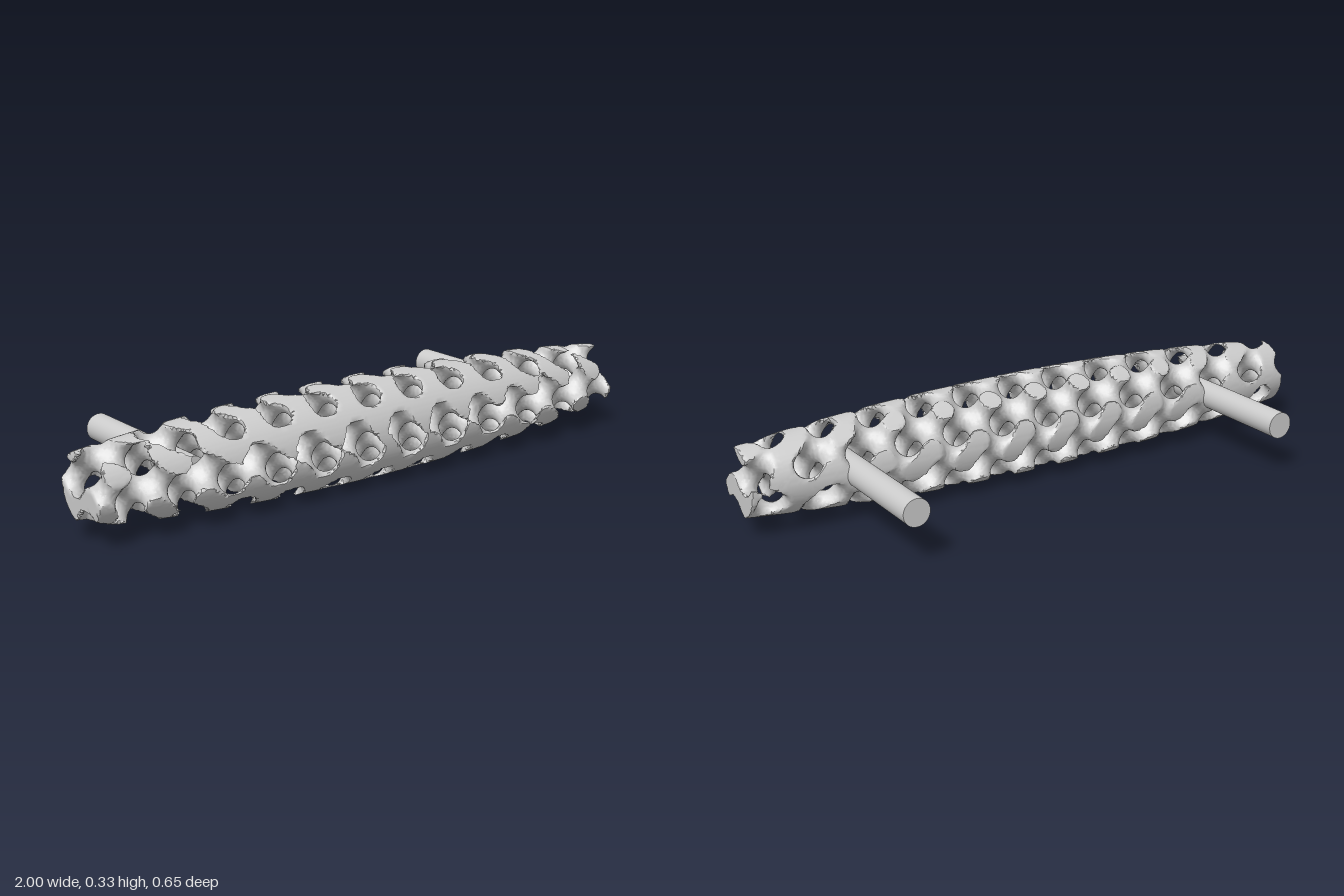
import * as THREE from 'three';
import { toCreasedNormals } from 'three/addons/utils/BufferGeometryUtils.js';

const CY = 0.162, CZ = 0.162;            // axis of the barrel
const KX = 2 * Math.PI / 0.1667, K = 2 * Math.PI / 0.17;
const LEVEL = 0.2;                       // how much of the gyroid is open

// Signed field of a gyroid lattice trimmed to a tapering barrel (negative inside)
function field(px, py, pz) {
  const x = KX * px, y = K * (py - CY), z = K * (pz - CZ);
  const g = -Math.cos(x) * Math.sin(y) + Math.cos(y) * Math.sin(z) - Math.cos(z) * Math.sin(x);
  const lattice = (LEVEL - g) / (1.2 * K);
  const barrel = Math.hypot(py - CY, pz - CZ) - (0.163 - 0.055 * px * px);
  return Math.max(lattice, barrel, Math.abs(px) - 1);
}

// Pull a point onto the surface, which also sharpens the trimmed rims
function project(p) {
  const e = 1e-4;
  for (let i = 0; i < 6; i++) {
    const f = field(p[0], p[1], p[2]);
    const g = [
      field(p[0] + e, p[1], p[2]) - field(p[0] - e, p[1], p[2]),
      field(p[0], p[1] + e, p[2]) - field(p[0], p[1] - e, p[2]),
      field(p[0], p[1], p[2] + e) - field(p[0], p[1], p[2] - e),
    ].map((d) => d / (2 * e));
    const step = f / Math.max(g[0] ** 2 + g[1] ** 2 + g[2] ** 2, 0.3);
    for (let a = 0; a < 3; a++) p[a] -= THREE.MathUtils.clamp(step * g[a], -0.003, 0.003);
  }
  return p;
}

// Surface net: one vertex per crossed cell, one quad per crossed grid edge
function surfaceNet(lo, hi, h) {
  const n = lo.map((v, a) => Math.ceil((hi[a] - v) / h) + 1);
  const stride = [1, n[0], n[0] * n[1]];
  const values = new Float32Array(n[0] * n[1] * n[2]);
  const cellVertex = new Int32Array(values.length).fill(-1);
  const positions = [], index = [];
  const eachNode = (fn) => {
    for (let k = 0; k < n[2] - 1; k++)
      for (let j = 0; j < n[1] - 1; j++)
        for (let i = 0; i < n[0] - 1; i++) fn([i, j, k], i + j * stride[1] + k * stride[2]);
  };
  values.fill(1);
  eachNode((c, id) => { values[id] = field(lo[0] + c[0] * h, lo[1] + c[1] * h, lo[2] + c[2] * h); });

  eachNode((c, id) => {
    const sum = [0, 0, 0];
    let count = 0;
    for (let corner = 0; corner < 8; corner++) {
      const bit = [corner & 1, (corner >> 1) & 1, corner >> 2];
      const from = id + bit[0] * stride[0] + bit[1] * stride[1] + bit[2] * stride[2];
      for (let a = 0; a < 3; a++) {
        if (bit[a]) continue;
        const v0 = values[from], v1 = values[from + stride[a]];
        if ((v0 < 0) === (v1 < 0)) continue;
        for (let b = 0; b < 3; b++) sum[b] += bit[b] + (a === b ? v0 / (v0 - v1) : 0);
        count++;
      }
    }
    if (!count) return;
    cellVertex[id] = positions.length / 3;
    positions.push(...project(sum.map((s, a) => lo[a] + (c[a] + s / count) * h)));
  });

  eachNode((c, id) => {
    for (let a = 0; a < 3; a++) {
      const inside = values[id] < 0;
      if (inside === (values[id + stride[a]] < 0)) continue;
      const b = stride[(a + 1) % 3], d = stride[(a + 2) % 3];
      const q = [id - b - d, id - d, id, id - b].map((cell) => cellVertex[cell]);
      if (!inside) q.reverse();
      index.push(q[0], q[1], q[2], q[0], q[2], q[3]);
    }
  });

  const geometry = new THREE.BufferGeometry();
  geometry.setAttribute('position', new THREE.Float32BufferAttribute(positions, 3));
  geometry.setIndex(index);
  return toCreasedNormals(geometry, 0.7);
}

export function createModel() {
  const model = new THREE.Group();
  const material = new THREE.MeshStandardMaterial({ color: 0xcccccc, side: THREE.DoubleSide });

  // Perforated barrel-shaped grip
  const grip = new THREE.Mesh(
    surfaceNet([-1.02, -0.02, -0.02], [1.03, 0.35, 0.35], 0.0093), material);
  grip.name = 'latticeGrip';
  model.add(grip);

  // Two round mounting posts running back from inside the grip
  const back = -0.325, front = 0.21;
  for (const side of [-1, 1]) {
    const post = new THREE.Mesh(new THREE.CylinderGeometry(0.0435, 0.0435, front - back, 48), material);
    post.rotation.x = Math.PI / 2;
    post.position.set(side * 0.665, CY, (front + back) / 2);
    post.name = side > 0 ? 'leftPost' : 'rightPost';
    model.add(post);
  }
  return model;
}
